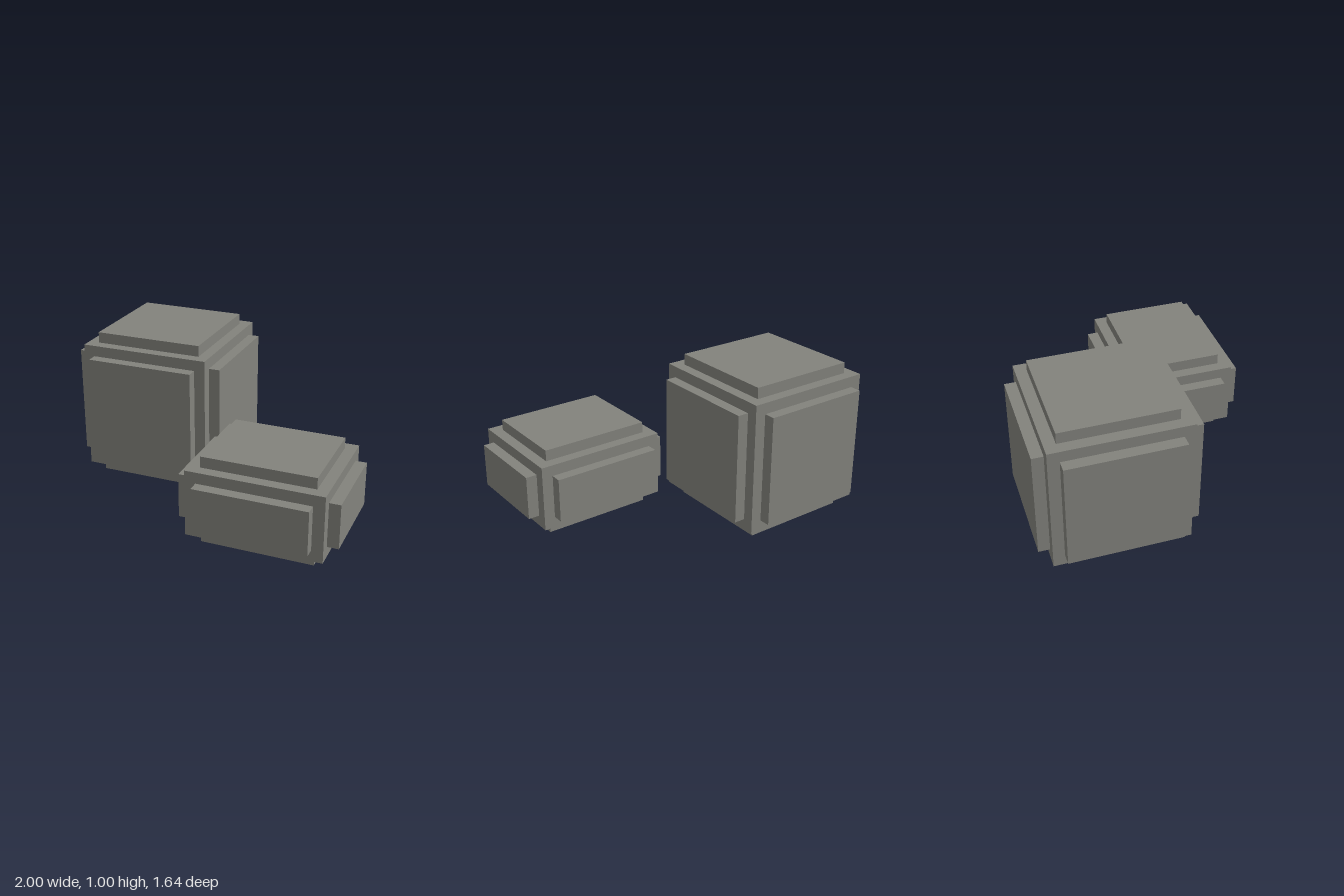
import * as THREE from 'three';

const U = 1 / 14; // one step of the block grid

const stone = new THREE.MeshStandardMaterial({ color: 0x82827c });
stone.name = 'stone grey';

function box(name, size, position) {
  const mesh = new THREE.Mesh(new THREE.BoxGeometry(...size), stone);
  mesh.name = name;
  mesh.position.set(...position);
  return mesh;
}

// A core box with a raised, inset plate on each of its six sides.
// size is the core size in grid steps.
function plateBlock(name, size, x, z) {
  const block = new THREE.Group();
  block.name = name;
  block.add(box('core', size.map((s) => s * U), [0, 0, 0]));

  const sides = [['rightPlate', 'leftPlate'], ['bottomPlate', 'topPlate'], ['backPlate', 'frontPlate']];
  sides.forEach((names, axis) => {
    names.forEach((plateName, i) => {
      const plate = size.map((s, k) => (k === axis ? 1 : s - 2) * U);
      const position = [0, 0, 0];
      position[axis] = (i ? 1 : -1) * (size[axis] + 1) * U / 2;
      block.add(box(plateName, plate, position));
    });
  });

  block.position.set(x, (size[1] + 2) * U / 2, z);
  return block;
}

export function createModel() {
  const model = new THREE.Group();
  model.name = 'steppedBlocks';
  model.add(plateBlock('tallBlock', [12, 12, 12], -7 * U, -4.5 * U));
  model.add(plateBlock('lowBlock', [12, 6, 10], 7 * U, 5.5 * U));
  return model;
}
